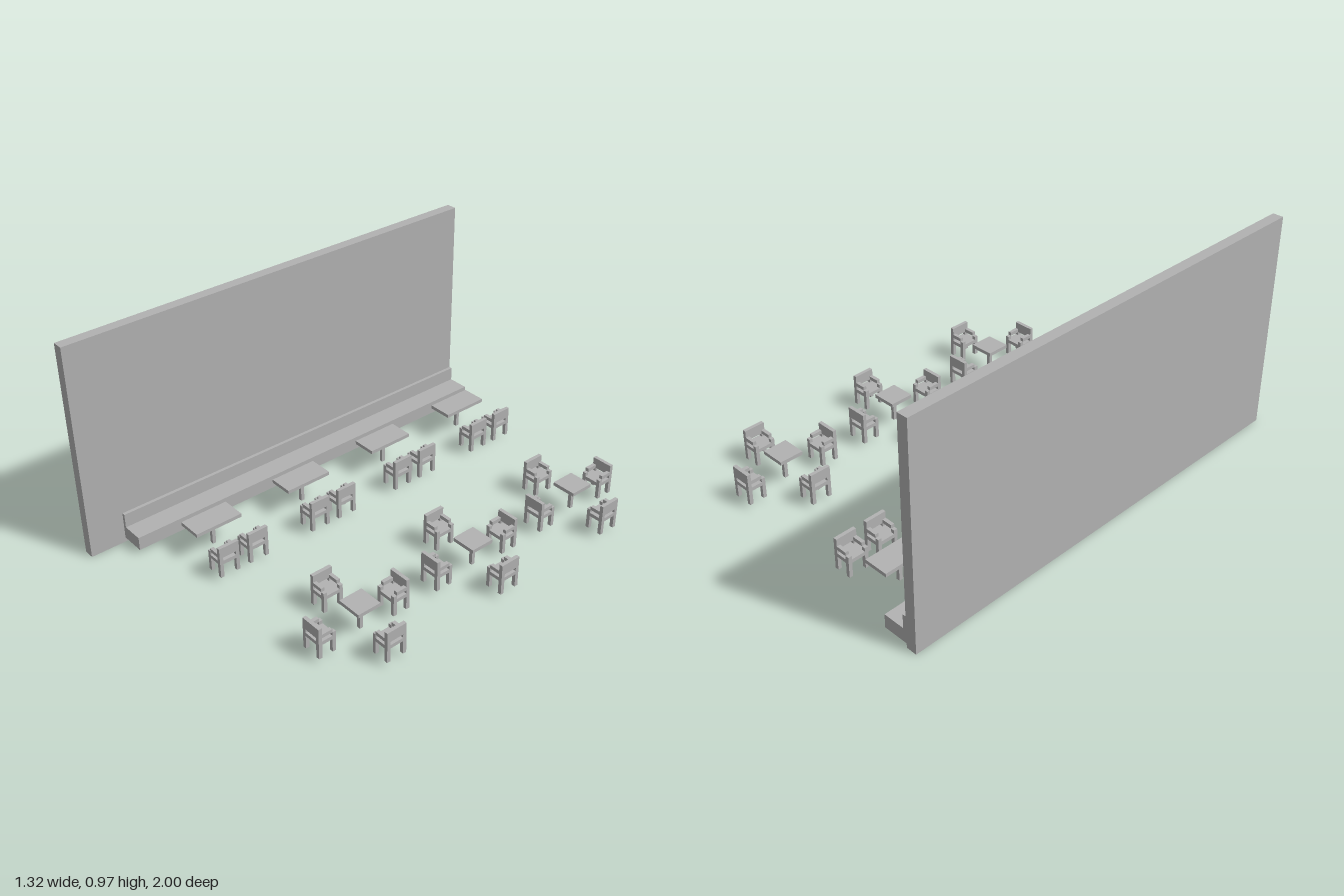
import * as THREE from 'three';

const grey = new THREE.MeshStandardMaterial({ color: 0xb2b2b2 });
grey.name = 'plain grey';

// Box given by its min and max corners
function box(name, x0, x1, y0, y1, z0, z1) {
  const geo = new THREE.BoxGeometry(x1 - x0, y1 - y0, z1 - z0);
  const mesh = new THREE.Mesh(geo, grey);
  mesh.position.set((x0 + x1) / 2, (y0 + y1) / 2, (z0 + z1) / 2);
  mesh.name = name;
  return mesh;
}

const FLOOR = 0.02; // furniture stands slightly above the wall's foot
const POST = 0.016;

// Pedestal table centred on x, z
function makeTable(x, z, w, d) {
  const g = new THREE.Group();
  g.name = 'table';
  g.add(
    box('tableTop', -w / 2, w / 2, 0.127, 0.143, -d / 2, d / 2),
    box('tableLeg', -POST / 2, POST / 2, FLOOR, 0.127, -POST / 2, POST / 2)
  );
  g.position.set(x, 0, z);
  return g;
}

// Armchair: origin at the outer middle of its back, seat reaching toward -x, then turned
function makeChair(x, z, turn) {
  const g = new THREE.Group();
  g.name = 'chair';
  const D = 0.08, H = 0.0465;
  g.add(
    box('backrest', -POST, 0, 0.113, 0.16, -H, H),
    box('seat', -D + POST, -POST, 0.081, 0.097, -H, H),
    box('seatFrontEdge', -D, -D + POST, 0.081, 0.097, -H + POST, H - POST),
    box('seatBackEdge', -POST, 0, 0.081, 0.097, -H + POST, H - POST)
  );
  for (const z0 of [-H, H - POST]) {
    g.add(
      box('frontLeg', -D, -D + POST, FLOOR, 0.113, z0, z0 + POST),
      box('backLeg', -POST, 0, FLOOR, 0.113, z0, z0 + POST),
      box('armrest', -D + POST, -POST, 0.113, 0.129, z0, z0 + POST)
    );
  }
  g.position.set(x, 0, z);
  g.rotation.y = turn;
  return g;
}

export function createModel() {
  const model = new THREE.Group();
  model.name = 'diningRoom';

  // Wall with the long bench along it
  model.add(
    box('wall', -0.66, -0.613, 0, 0.97, -1, 1),
    box('benchBack', -0.613, -0.598, FLOOR, 0.143, -1, 0.84),
    box('benchSeat', -0.598, -0.502, FLOOR, 0.08, -1, 0.84)
  );

  // Row of tables at the bench, two chairs each
  for (let i = 0; i < 4; i++) {
    const z = -0.797 + i * 0.46;
    model.add(
      makeTable(-0.35, z, 0.11, 0.218),
      makeChair(-0.138, z - 0.079, 0),
      makeChair(-0.138, z + 0.063, 0)
    );
  }

  // Free-standing square tables, a chair on every side
  for (let i = 0; i < 3; i++) {
    const z = -0.709 + i * 0.5865;
    model.add(
      makeTable(0.442, z, 0.11, 0.108),
      makeChair(0.657, z + 0.007, 0),
      makeChair(0.213, z + 0.007, Math.PI),
      makeChair(0.434, z - 0.214, Math.PI / 2),
      makeChair(0.434, z + 0.228, -Math.PI / 2)
    );
  }
  return model;
}
